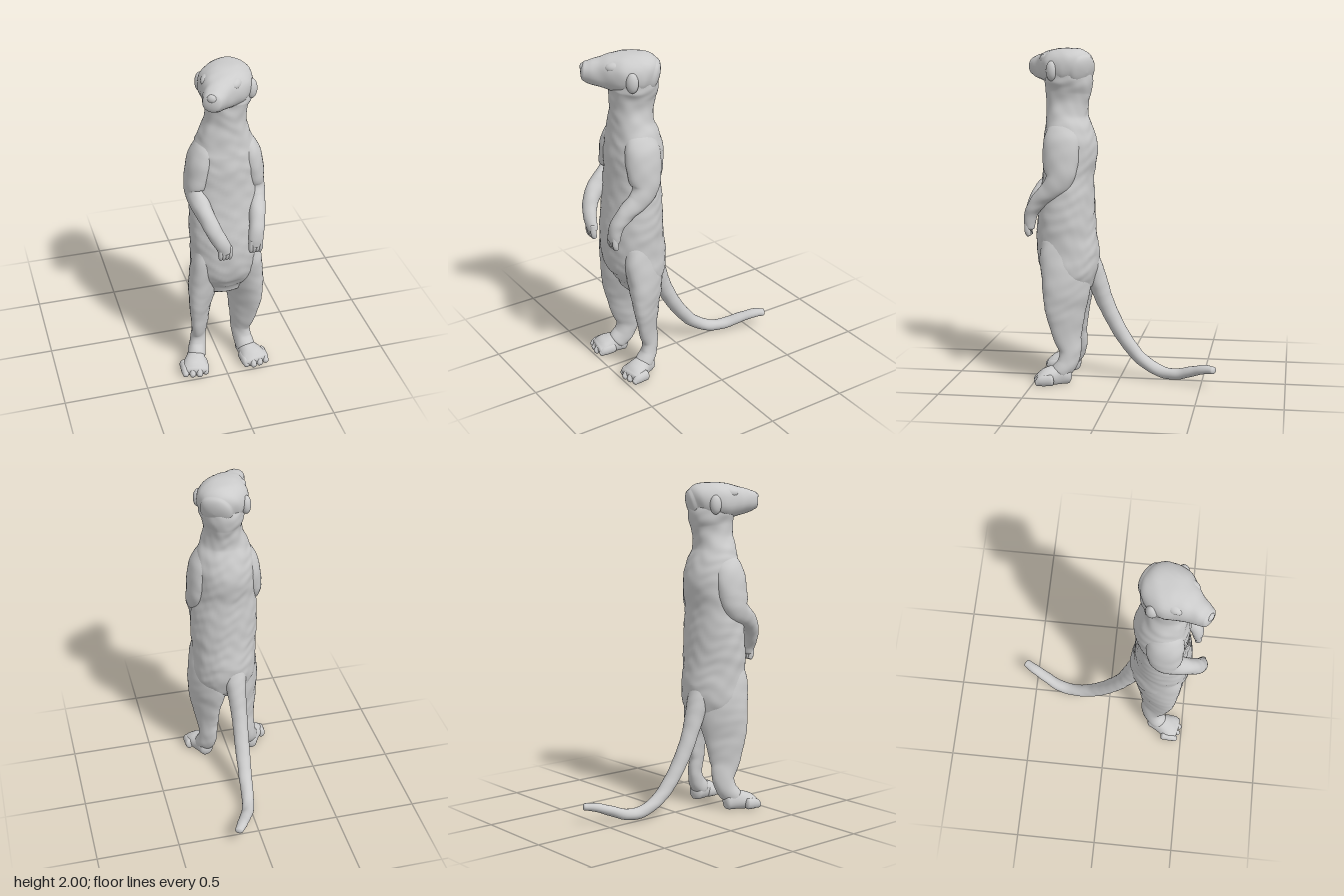
import * as THREE from 'three';

const material = new THREE.MeshStandardMaterial({ color: 0xcccccc });
const V = (x, y, z) => new THREE.Vector3(x, y, z);

// Uneven fur surface built from a few crossing waves
function ripple(p) {
  return Math.sin(p.y * 71 + Math.sin(p.x * 33 + p.y * 11) * 2.2 + p.z * 19) * 0.4
    + Math.sin(p.x * 47 + p.y * 23) * Math.sin(p.z * 43 - p.y * 17) * 0.7
    + Math.sin(p.x * 83 - p.y * 39 + p.z * 61) * 0.25;
}

// Smooth body through stations [x, y, z, half width, half depth] with rounded ends.
// turn rotates the cross-section about the path, wedge narrows its far side.
function sweep(name, stations, { rings = 40, sides = 32, fur = 0.002, cap = 0.6, power = 2, turn = 0, wedge = 0 } = {}) {
  const path = new THREE.CatmullRomCurve3(stations.map((s) => V(s[0], s[1], s[2])));
  const size = new THREE.CatmullRomCurve3(stations.map((s) => V(s[3], s[4], 0)), false, 'catmullrom', 0.5);
  // Rings as [position on path, push beyond the end, scale]
  const capRings = 6, list = [];
  const capRing = (t, dir, k) => {
    const a = (k / capRings) * Math.PI / 2;
    return [t, dir * Math.cos(a), Math.sin(a) + 0.005];
  };
  for (let k = 0; k < capRings; k++) list.push(capRing(0, -1, k));
  for (let i = 0; i <= rings; i++) list.push([i / rings, 0, 1]);
  for (let k = capRings - 1; k >= 0; k--) list.push(capRing(1, 1, k));

  const pos = [], index = [];
  const bend = (v) => Math.sign(v) * Math.abs(v) ** (2 / power);
  list.forEach(([t, push, scale], i) => {
    const c = path.getPoint(t), T = path.getTangent(t), r = size.getPoint(t);
    const S = V(1, 0, 0).addScaledVector(T, -T.x).normalize().applyAxisAngle(T, turn);
    const U = T.clone().cross(S);
    c.addScaledVector(T, push * cap * Math.min(r.x, r.y));
    for (let j = 0; j < sides; j++) {
      const a = (j / sides) * Math.PI * 2;
      const out = S.clone().multiplyScalar(r.x * scale * bend(Math.cos(a)) * (1 - wedge * Math.sin(a)))
        .addScaledVector(U, r.y * scale * bend(Math.sin(a)));
      const p = c.clone().add(out);
      p.addScaledVector(out.normalize(), fur * scale * ripple(p));
      pos.push(p.x, p.y, p.z);
      const n = (j + 1) % sides, b = i * sides;
      if (i < list.length - 1) index.push(b + j, b + n, b + sides + n, b + j, b + sides + n, b + sides + j);
    }
  });
  const g = new THREE.BufferGeometry();
  g.setAttribute('position', new THREE.Float32BufferAttribute(pos, 3));
  g.setIndex(index);
  g.computeVertexNormals();
  const mesh = new THREE.Mesh(g, material);
  mesh.name = name;
  return mesh;
}

function blob(name, x, y, z, rx, ry, rz) {
  const mesh = new THREE.Mesh(new THREE.SphereGeometry(1, 20, 14), material);
  mesh.position.set(x, y, z);
  mesh.scale.set(rx, ry, rz);
  mesh.name = name;
  return mesh;
}

// Keep soles flat on the ground
function flatten(mesh) {
  const p = mesh.geometry.attributes.position;
  for (let i = 0; i < p.count; i++) p.setY(i, Math.max(0, p.getY(i)));
  mesh.geometry.computeVertexNormals();
  return mesh;
}

function createHead() {
  const head = new THREE.Group();
  head.name = 'head';
  head.add(sweep('skullAndMuzzle', [
    [0, -0.015, -0.1, 0.098, 0.095],
    [0, -0.003, -0.06, 0.132, 0.113],
    [0, 0.003, 0, 0.15, 0.115],
    [0, 0.003, 0.07, 0.144, 0.113],
    [0, 0.005, 0.135, 0.11, 0.1],
    [0, 0.005, 0.19, 0.082, 0.083],
    [0, 0.007, 0.24, 0.066, 0.069],
    [0, 0.01, 0.272, 0.054, 0.056],
  ], { fur: 0.002, power: 2.2, cap: 0.45 }));
  head.add(blob('nose', 0, 0.034, 0.28, 0.028, 0.024, 0.02));
  for (const s of [1, -1]) {
    const ear = blob('ear', s * 0.145, -0.015, 0.01, 0.03, 0.058, 0.036);
    ear.rotation.y = s * -0.3;
    head.add(ear);
    head.add(blob('brow', s * 0.075, 0.052, 0.1, 0.038, 0.034, 0.06));
    head.add(blob('eye', s * 0.08, 0.032, 0.15, 0.014, 0.014, 0.02));
  }
  // Turned towards its right
  head.position.set(0.03, 1.88, 0.3);
  head.rotation.y = -0.55;
  return head;
}

function createLeg(side) {
  const leg = new THREE.Group();
  leg.name = side > 0 ? 'leftLeg' : 'rightLeg';
  const place = (x, y) => (side > 0 ? x : 0.04 * Math.min(1, y / 0.5) - x);
  // Thigh starts inside the belly; the knee is turned outwards
  const stations = [
    [0.1, 0.86, 0.32, 0.09, 0.145],
    [0.113, 0.76, 0.317, 0.092, 0.158],
    [0.128, 0.65, 0.307, 0.09, 0.155],
    [0.14, 0.55, 0.305, 0.08, 0.15],
    [0.148, 0.46, 0.308, 0.063, 0.134],
    [0.148, 0.38, 0.303, 0.052, 0.114],
    [0.142, 0.28, 0.298, 0.044, 0.09],
    [0.14, 0.19, 0.282, 0.042, 0.069],
    [0.147, 0.12, 0.3, 0.048, 0.064],
    [0.158, 0.07, 0.34, 0.055, 0.06],
  ].map(([x, ...rest]) => [place(x, rest[0]), ...rest]);
  leg.add(sweep('thighAndShin', stations, { rings: 60, turn: -side * 0.6 }));
  leg.add(flatten(sweep('foot', [
    [side * 0.148, 0.045, 0.3, 0.045, 0.055],
    [side * 0.165, 0.048, 0.36, 0.06, 0.062],
    [side * 0.183, 0.04, 0.42, 0.078, 0.053],
    [side * 0.19, 0.03, 0.455, 0.081, 0.038],
  ], { rings: 20 })));
  // Four closely set toes across the front of the foot
  for (let i = 0; i < 4; i++) {
    const x = 0.128 + i * 0.041, z = 0.465 - Math.abs(i - 1.2) * 0.014;
    leg.add(flatten(sweep('toe', [
      [side * (x - 0.004), 0.036, z - 0.06, 0.025, 0.034],
      [side * x, 0.03, z, 0.024, 0.031],
      [side * (x + 0.003), 0.018, z + 0.026, 0.017, 0.019],
    ], { rings: 8, sides: 14, fur: 0 })));
  }
  return leg;
}

function createArm(name, stations) {
  const arm = new THREE.Group();
  arm.name = name;
  arm.add(sweep('armAndForearm', stations, { rings: 60 }));
  // Fingers continue down from the palm
  const [x, y, z] = stations[stations.length - 1];
  for (let i = 0; i < 4; i++) {
    const dx = (i - 1.5) * 0.019;
    arm.add(sweep('finger', [
      [x + dx * 0.9, y + 0.03, z + 0.008, 0.014, 0.018],
      [x + dx, y - 0.02, z + 0.008, 0.014, 0.018],
      [x + dx * 0.9, y - 0.046, z, 0.011, 0.015],
    ], { rings: 8, sides: 12, fur: 0 }));
  }
  return arm;
}

export function createModel() {
  const model = new THREE.Group();
  model.name = 'standingAnimal';

  // Belly and chest are broader than the back
  model.add(sweep('torsoAndNeck', [
    [0.02, 0.545, 0.295, 0.13, 0.1],
    [0.02, 0.6, 0.29, 0.168, 0.133],
    [0.02, 0.67, 0.293, 0.193, 0.163],
    [0.018, 0.75, 0.307, 0.197, 0.183],
    [0.018, 0.85, 0.32, 0.198, 0.182],
    [0.018, 0.95, 0.322, 0.205, 0.175],
    [0.016, 1.1, 0.315, 0.203, 0.163],
    [0.015, 1.25, 0.31, 0.193, 0.153],
    [0.015, 1.4, 0.298, 0.185, 0.163],
    [0.015, 1.5, 0.305, 0.175, 0.147],
    [0.015, 1.59, 0.315, 0.145, 0.126],
    [0.02, 1.67, 0.312, 0.117, 0.126],
    [0.023, 1.74, 0.308, 0.116, 0.134],
    [0.026, 1.8, 0.302, 0.133, 0.143],
    [0.03, 1.87, 0.305, 0.135, 0.135],
  ], { rings: 130, sides: 64, fur: 0.003, power: 2.1, cap: 0.35, wedge: 0.1 }));

  model.add(createHead());
  model.add(createLeg(1), createLeg(-1));

  model.add(createArm('leftArm', [
    [0.1, 1.55, 0.315, 0.06, 0.085],
    [0.147, 1.45, 0.325, 0.075, 0.108],
    [0.172, 1.33, 0.328, 0.07, 0.105],
    [0.186, 1.24, 0.335, 0.06, 0.085],
    [0.188, 1.175, 0.38, 0.054, 0.064],
    [0.178, 1.125, 0.44, 0.049, 0.052],
    [0.162, 1.05, 0.5, 0.045, 0.042],
    [0.15, 0.985, 0.52, 0.044, 0.036],
    [0.147, 0.945, 0.522, 0.042, 0.03],
  ]));
  model.add(createArm('rightArm', [
    [-0.07, 1.55, 0.315, 0.06, 0.085],
    [-0.117, 1.45, 0.325, 0.075, 0.108],
    [-0.145, 1.33, 0.33, 0.07, 0.105],
    [-0.158, 1.24, 0.35, 0.06, 0.085],
    [-0.145, 1.185, 0.435, 0.052, 0.062],
    [-0.118, 1.12, 0.51, 0.047, 0.05],
    [-0.082, 1.04, 0.548, 0.045, 0.04],
    [-0.052, 0.985, 0.557, 0.043, 0.034],
    [-0.042, 0.95, 0.556, 0.042, 0.03],
  ]));

  // Tail drops behind the legs, then trails back along the ground
  model.add(sweep('tail', [
    [-0.005, 0.8, 0.23, 0.08, 0.07],
    [-0.015, 0.68, 0.175, 0.072, 0.066],
    [-0.02, 0.58, 0.135, 0.058, 0.058],
    [-0.022, 0.48, 0.1, 0.051, 0.052],
    [-0.022, 0.36, 0.045, 0.048, 0.047],
    [-0.016, 0.22, -0.04, 0.045, 0.042],
    [-0.008, 0.11, -0.14, 0.041, 0.038],
    [0.008, 0.048, -0.26, 0.038, 0.035],
    [0.032, 0.045, -0.35, 0.037, 0.033],
    [0.075, 0.08, -0.45, 0.035, 0.029],
    [0.115, 0.105, -0.53, 0.03, 0.026],
    [0.142, 0.108, -0.575, 0.026, 0.022],
  ], { rings: 60, sides: 24 }));

  return model;
}
